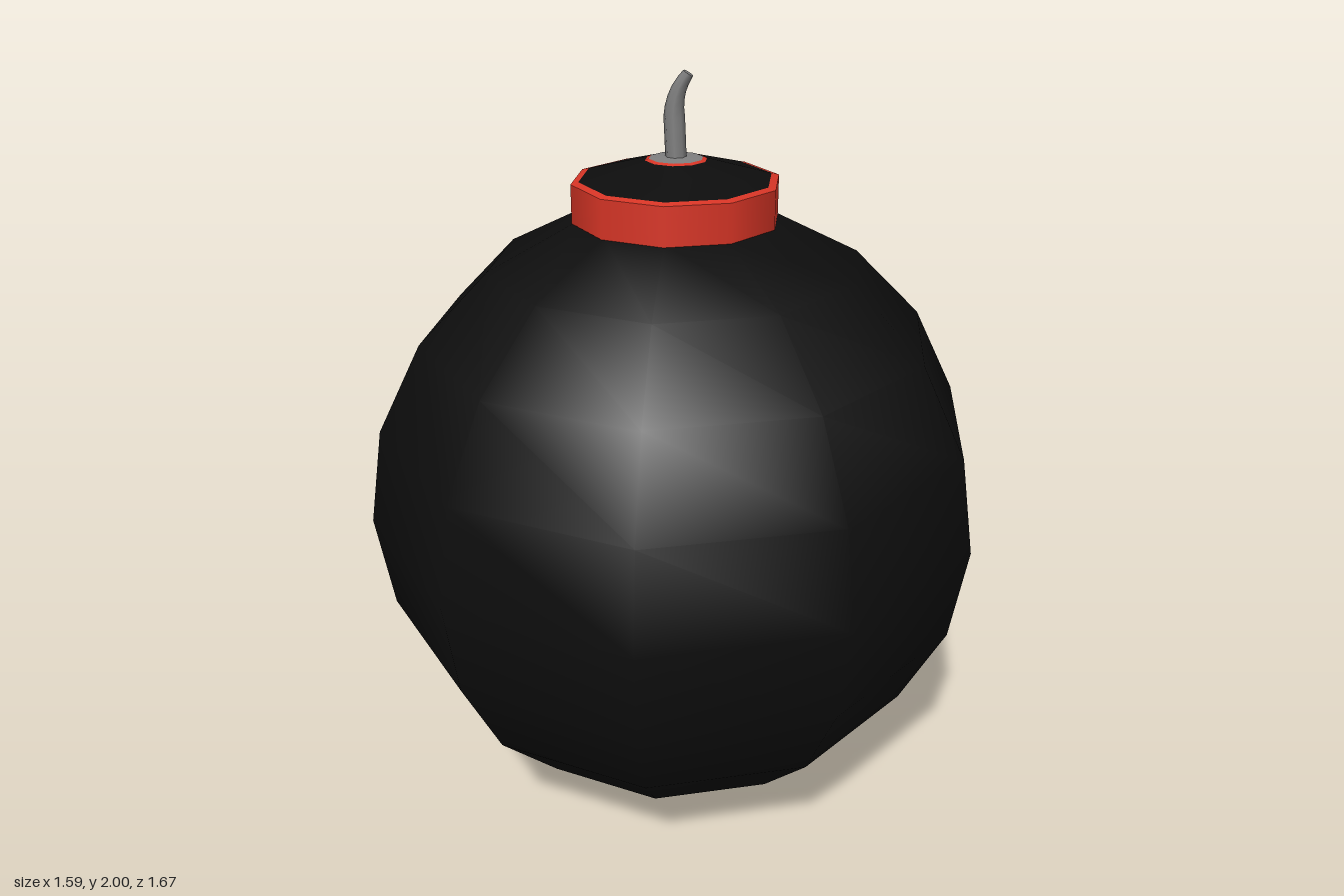
import * as THREE from 'three';

const SIDES = 10;
const black = new THREE.MeshStandardMaterial({ color: 0x0d0d0d });
const red = new THREE.MeshStandardMaterial({ color: 0xd83526 });
const grey = new THREE.MeshStandardMaterial({ color: 0x808080 });

// One ring-shaped band per profile segment, so the edges between them stay sharp
function bands(name, material, profile) {
  const group = new THREE.Group();
  group.name = name;
  for (let i = 0; i < profile.length - 1; i++) {
    const pts = [profile[i], profile[i + 1]].map(([r, y]) => new THREE.Vector2(r, y));
    const mesh = new THREE.Mesh(new THREE.LatheGeometry(pts, SIDES), material);
    mesh.name = name + 'Band';
    group.add(mesh);
  }
  return group;
}

// Ten-sided ball with a vertex facing the front
function createBody() {
  const R = 0.835;
  const pts = [];
  for (let i = 0; i <= SIDES; i++) {
    const a = (i / SIDES) * Math.PI;
    pts.push(new THREE.Vector2(R * Math.sin(a), R * (1 - Math.cos(a))));
  }
  const mesh = new THREE.Mesh(new THREE.LatheGeometry(pts, SIDES), black);
  mesh.name = 'body';
  return mesh;
}

// Bent wick that narrows towards a flat, slanted tip
function createFuse() {
  const group = new THREE.Group();
  group.name = 'fuse';
  const curve = new THREE.CatmullRomCurve3([
    [0, 1.77], [-0.003, 1.84], [-0.004, 1.91], [0.008, 1.955], [0.03, 1.99],
  ].map(([x, y]) => new THREE.Vector3(x, y, 0)));
  const rings = 10, radial = 8, base = 0.027, tip = 0.014;
  const geo = new THREE.TubeGeometry(curve, rings, base, radial);
  const pos = geo.attributes.position;
  const v = new THREE.Vector3();
  for (let i = 0; i < pos.count; i++) {
    const t = Math.floor(i / (radial + 1)) / rings;
    const k = THREE.MathUtils.lerp(1, tip / base, Math.max(0, (t - 0.5) * 2));
    const c = curve.getPointAt(t);
    v.fromBufferAttribute(pos, i).sub(c).multiplyScalar(k).add(c);
    pos.setXYZ(i, v.x, v.y, v.z);
  }
  const wick = new THREE.Mesh(geo, grey);
  wick.name = 'wick';
  const cap = new THREE.Mesh(new THREE.CircleGeometry(tip, radial), grey);
  cap.name = 'wickTip';
  cap.position.copy(curve.getPointAt(1));
  cap.quaternion.setFromUnitVectors(new THREE.Vector3(0, 0, 1), curve.getTangentAt(1));
  group.add(wick, cap);
  return group;
}

export function createModel() {
  const model = new THREE.Group();
  model.name = 'bomb';
  model.add(
    createBody(),
    // Red collar with a thin rim
    bands('collar', red, [[0.24, 1.625], [0.27, 1.625], [0.27, 1.725], [0.25, 1.73]]),
    // Shallow black lid, red ring and grey fuse seat
    bands('lid', black, [[0.25, 1.73], [0.08, 1.777]]),
    bands('fuseRing', red, [[0.08, 1.777], [0.07, 1.781]]),
    bands('fuseSeat', grey, [[0.07, 1.781], [0, 1.787]]),
    createFuse(),
  );
  return model;
}
